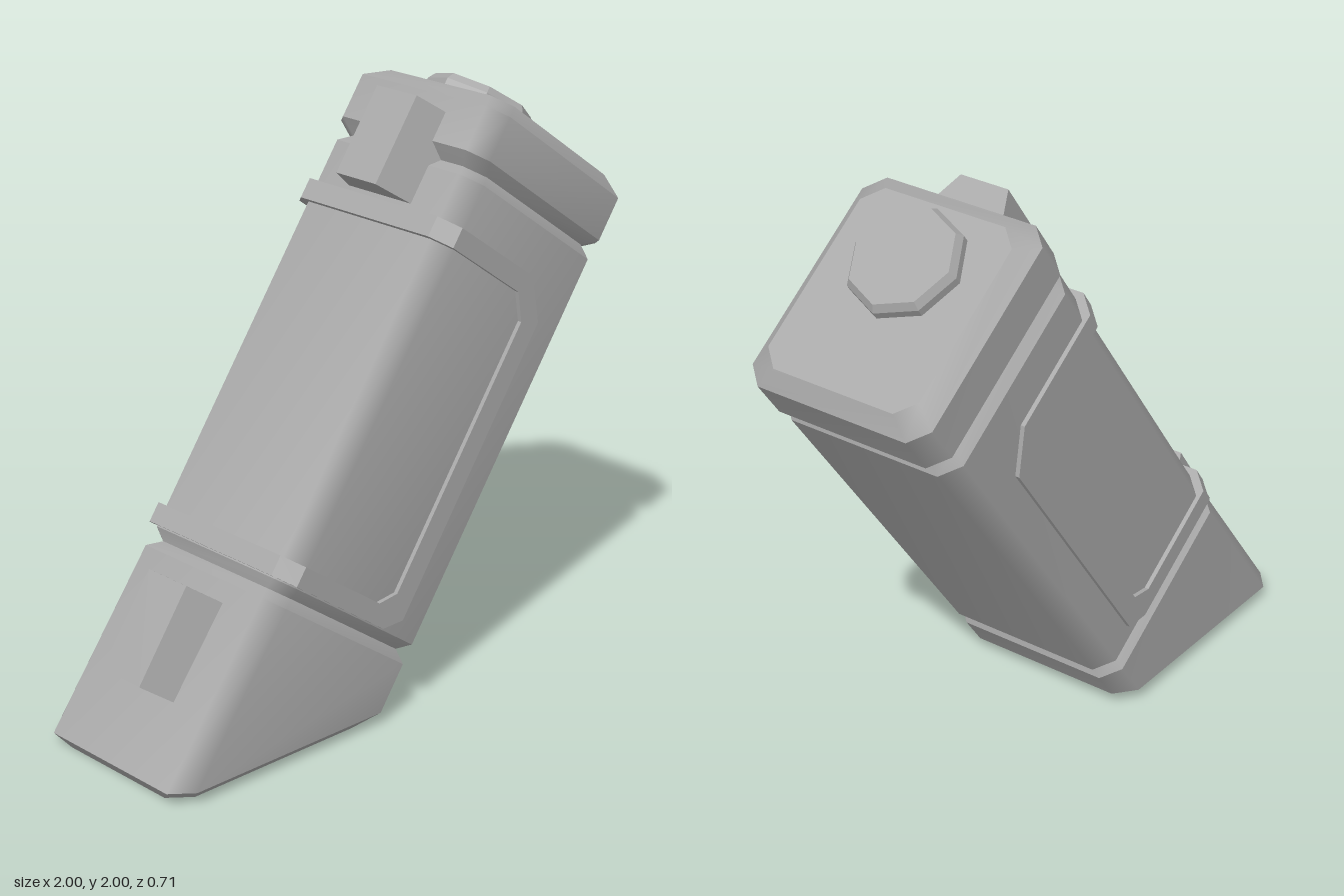
import * as THREE from 'three';

const TILT = 0.614; // lean of the whole casing towards +x
const S = Math.sin(TILT), C = Math.cos(TILT);

// Height along the tilted axis at which a point with offset u meets the level y
const atLevel = (y) => (u) => (y + S * u) / C;

// Chamfered rectangle, anticlockwise seen from the top
function outline(u0, u1, h, c) {
  return [[u1, h - c], [u1, c - h], [u1 - c, -h], [u0 + c, -h],
    [u0, c - h], [u0, h - c], [u0 + c, h], [u1 - c, h]];
}

// Skin over rings [u0, u1, halfDepth, height]; smooth around, sharp between bands
function loft(rings, chamfer = 0.06) {
  const pos = [], index = [];
  const add = ([u0, u1, h, v]) => {
    const start = pos.length / 3;
    for (const [u, z] of outline(u0, u1, h, chamfer)) pos.push(u, typeof v === 'function' ? v(u) : v, z);
    return start;
  };
  for (let r = 0; r < rings.length - 1; r++) {
    const a = add(rings[r]), b = add(rings[r + 1]);
    for (let i = 0; i < 8; i++) {
      const j = (i + 1) % 8;
      index.push(a + i, a + j, b + j, a + i, b + j, b + i);
    }
  }
  const bottom = add(rings[0]), top = add(rings[rings.length - 1]);
  for (let i = 1; i < 7; i++) {
    index.push(bottom, bottom + i + 1, bottom + i, top, top + i, top + i + 1);
  }
  const g = new THREE.BufferGeometry();
  g.setAttribute('position', new THREE.Float32BufferAttribute(pos, 3));
  g.setIndex(index);
  g.computeVertexNormals();
  return g;
}

function extrude(points, depth) {
  const shape = new THREE.Shape(points.map(([x, y]) => new THREE.Vector2(x, y)));
  return new THREE.ExtrudeGeometry(shape, { depth, bevelEnabled: false });
}

// Slice of constant (u, z) section standing between two heights
function slab(points, v0, v1) {
  return extrude(points, v1 - v0).rotateX(-Math.PI / 2).translate(0, v0, 0);
}

export function createModel() {
  const root = new THREE.Group();
  root.name = 'casing';
  const tilted = new THREE.Group();
  tilted.name = 'tiltedCasing';
  tilted.rotation.z = -TILT;
  root.add(tilted);

  const grey = new THREE.MeshStandardMaterial({ color: 0xa8a8a8 });
  grey.name = 'grey';
  const add = (name, geometry) => {
    const mesh = new THREE.Mesh(geometry, grey);
    mesh.name = name;
    tilted.add(mesh);
    return mesh;
  };

  // Foot, cut level with the ground
  add('foot', loft([
    [-0.79, -0.123, 0.29, atLevel(0)],
    [-0.843, -0.08, 0.34, atLevel(0.045)],
    [-0.825, -0.08, 0.34, 0.13],
    [-0.79, -0.11, 0.31, 0.165],
  ]));

  // Main body, with a groove at each end
  add('body', loft([
    [-0.79, -0.11, 0.31, 0.165],
    [-0.815, -0.08, 0.34, 0.2],
    [-0.815, -0.08, 0.34, 1.595],
    [-0.785, -0.11, 0.31, 1.63],
  ]));

  // Cap
  add('cap', loft([
    [-0.785, -0.11, 0.31, 1.63],
    [-0.837, -0.068, 0.34, 1.67],
    [-0.837, -0.068, 0.34, 1.825],
    [-0.78, -0.12, 0.285, 1.877],
  ]));

  // Octagonal button with a bevelled rim
  const profile = [[0.19, 1.86], [0.19, 1.905], [0.173, 1.93], [0, 1.93]]
    .map(([r, v]) => new THREE.Vector2(r, v));
  const button = new THREE.LatheGeometry(profile, 8).toNonIndexed();
  button.computeVertexNormals();
  add('button', button.translate(-0.567, 0, 0));

  // Raised C-shaped trim on the front and back faces
  const trim = [[-0.78, 0.205], [-0.322, 0.205], [-0.25, 0.257], [-0.255, 1.322],
    [-0.373, 1.44], [-0.78, 1.44], [-0.78, 1.37], [-0.408, 1.37],
    [-0.333, 1.293], [-0.331, 0.326], [-0.39, 0.273], [-0.78, 0.273]];
  add('frontTrim', extrude(trim, 0.035).translate(0, 0, 0.32));
  add('backTrim', extrude(trim, 0.035).translate(0, 0, -0.355));

  // Straps joining the trims around the narrow side
  const strap = [[-0.7, -0.355], [-0.7, 0.355], [-0.78, 0.355], [-0.842, 0.293],
    [-0.842, -0.293], [-0.78, -0.355]].reverse();
  add('lowerStrap', slab(strap, 0.205, 0.273));
  add('upperStrap', slab(strap, 1.37, 1.44));

  // Tapered mounting lugs
  const lug = [[-0.955, -0.09], [-0.79, -0.155], [-0.79, 0.155], [-0.955, 0.09]];
  add('lowerLug', slab(lug, -0.28, 0.065));
  add('upperLug', slab(lug, 1.46, 1.772)).position.x = 0.01;

  return root;
}
